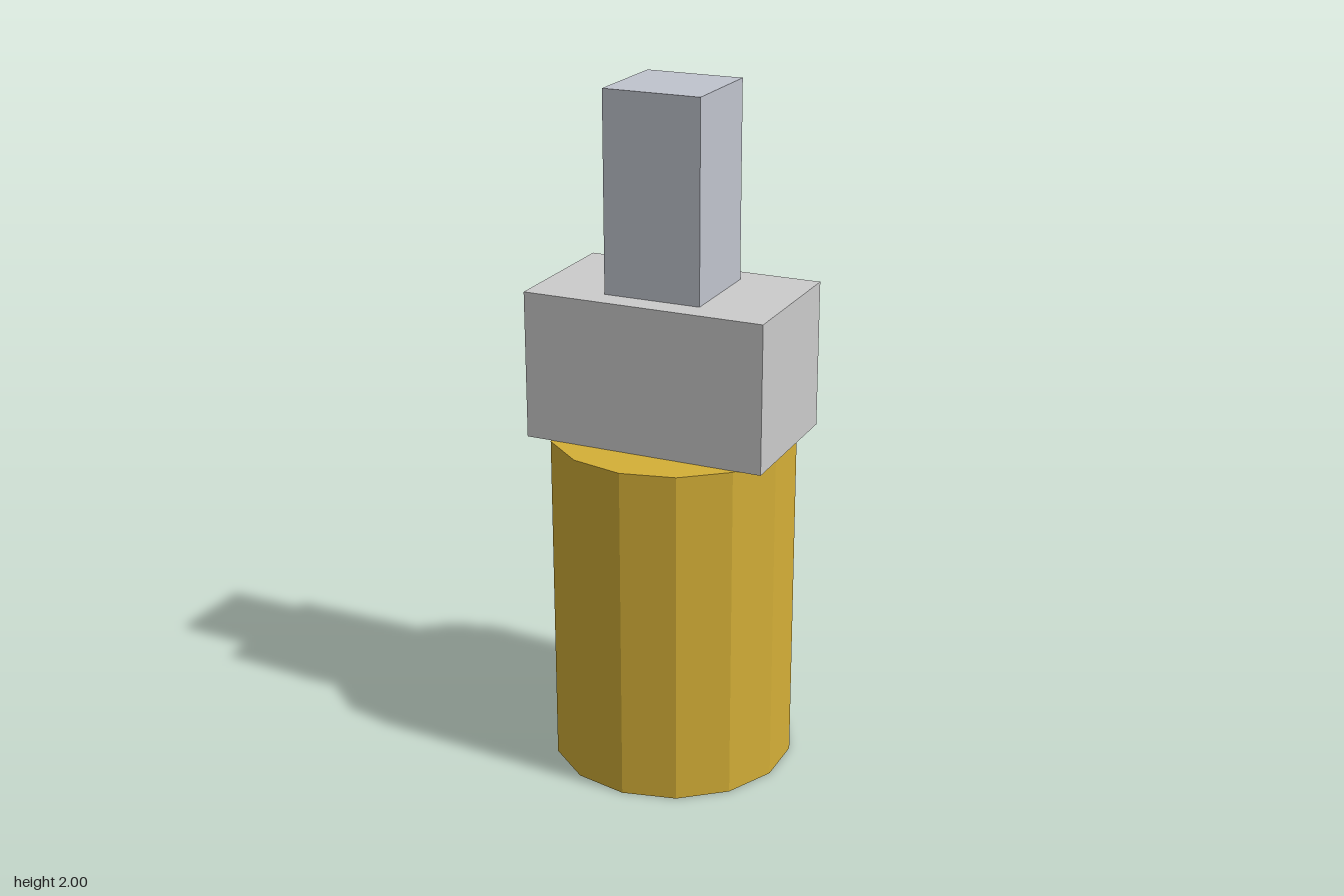
import * as THREE from 'three';

const GOLD = 0xd4af37, GREY = 0xcccccc, STEEL = 0xc0c4ce;

export function createModel() {
  const model = new THREE.Group();

  // Each part stands on the given height
  const add = (name, geometry, color, height, base) => {
    const material = new THREE.MeshStandardMaterial({ color, flatShading: true });
    const mesh = new THREE.Mesh(geometry, material);
    mesh.name = name;
    mesh.position.y = base + height / 2;
    model.add(mesh);
  };

  // Fourteen-sided handle, with a corner facing front and back
  add('handle', new THREE.CylinderGeometry(0.357, 0.357, 1, 14), GOLD, 1, 0);

  // Wide block on top of the handle
  add('collar', new THREE.BoxGeometry(0.714, 0.429, 0.429), GREY, 0.429, 1);

  // Square shaft rising from the block
  add('shaft', new THREE.BoxGeometry(0.286, 0.571, 0.286), STEEL, 0.571, 1.429);

  return model;
}
